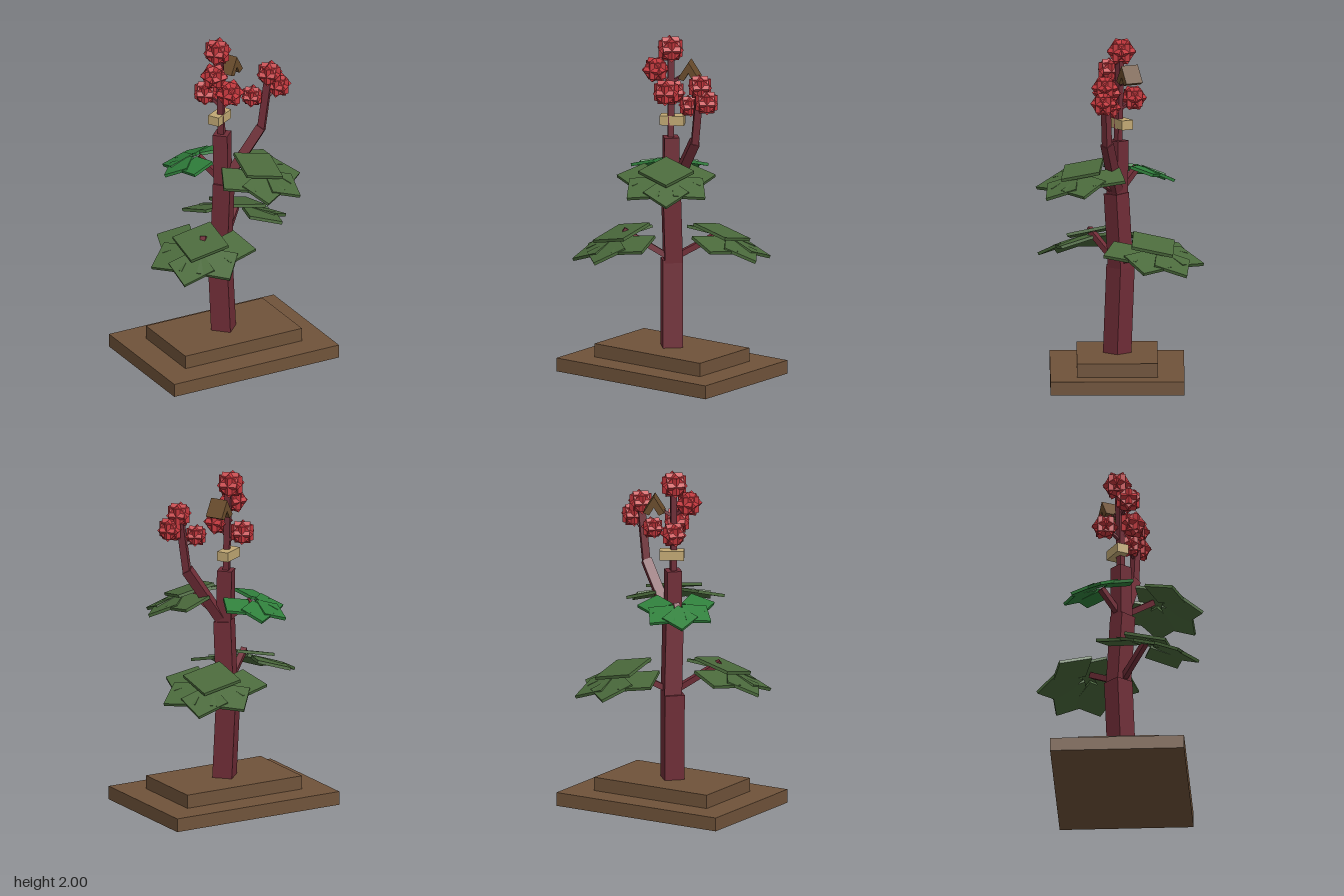
import * as THREE from 'three';

const mat = (name, color) => {
  const m = new THREE.MeshStandardMaterial({ color });
  m.name = name;
  return m;
};
const rad = THREE.MathUtils.degToRad;

export function createModel() {
  const model = new THREE.Group();
  model.name = 'pottedPlant';
  const wood = mat('wood brown', 0x70533a);
  const bark = mat('stem maroon', 0x702d37);
  const leafGreen = mat('leaf green', 0x4b6a3c);
  const youngGreen = mat('young leaf green', 0x30803c);
  const red = mat('blossom red', 0xc2363c);
  const tan = mat('label tan', 0xc2a974);
  const seed = mat('husk brown', 0x6a4c2c);

  const box = (parent, name, material, size, pos = [0, 0, 0], turn = 0) => {
    const m = new THREE.Mesh(new THREE.BoxGeometry(...size), material);
    m.name = name;
    m.position.set(...pos);
    m.rotation.y = rad(turn);
    parent.add(m);
    return m;
  };

  // Square beam between two points, turned corner-on
  const beam = (name, a, b, width) => {
    const p = new THREE.Vector3(...a), q = new THREE.Vector3(...b);
    const d = q.clone().sub(p);
    const g = new THREE.BoxGeometry(width, d.length(), width).rotateY(Math.PI / 4);
    const m = new THREE.Mesh(g, bark);
    m.name = name;
    m.position.copy(p).add(q).multiplyScalar(0.5);
    m.quaternion.setFromUnitVectors(new THREE.Vector3(0, 1, 0), d.normalize());
    model.add(m);
  };

  // Stepped base
  box(model, 'baseLower', wood, [1.095, 0.08, 0.78], [0.008, 0.04, 0.005]);
  box(model, 'baseUpper', wood, [0.775, 0.08, 0.47], [0.008, 0.12, 0.005]);

  // Main stem, thinner towards the top
  beam('stemLower', [0.005, 0.155, 0.005], [-0.01, 0.675, -0.015], 0.117);
  beam('stemMiddle', [0, 0.66, -0.015], [0.004, 1.1, 0.01], 0.104);
  beam('stemUpper', [0, 1.08, 0.005], [-0.003, 1.41, 0], 0.088);
  beam('stemTip', [-0.005, 1.38, 0], [-0.012, 1.92, -0.01], 0.036);

  // Side branch
  beam('branchLower', [0.03, 1.12, 0.01], [0.222, 1.425, 0.065], 0.056);
  beam('branchUpper', [0.222, 1.41, 0.065], [0.265, 1.74, 0.075], 0.042);

  // Compound leaf: diamond plates fanned around a centre, drooping outwards
  const leaf = (name, material, center, dir, scale, withCenter, stalkFrom, stalkTo) => {
    const g = new THREE.Group();
    g.name = name;
    g.position.set(...center);
    g.rotation.set(rad(17), Math.atan2(dir[0], dir[1]), 0, 'YXZ');
    const side = 0.2 * scale;
    [0, 50, -50, 105, -105].forEach((angle, i) => {
      const pivot = new THREE.Group();
      pivot.name = 'leaflet';
      pivot.rotation.set(rad(10), rad(angle), 0, 'YXZ');
      box(pivot, 'leafletPlate', material, [side, 0.018, side], [0, -0.002 * i, 0.18 * scale], 45);
      g.add(pivot);
    });
    if (withCenter) {
      box(g, 'leafCenter', material, [0.245 * scale, 0.018, 0.245 * scale], [0, 0.012, 0], 45);
    }
    model.add(g);
    beam(name + 'Stalk', stalkFrom, stalkTo, 0.034);
  };
  leaf('lowerRightLeaf', leafGreen, [-0.235, 0.82, 0.165], [-0.75, 0.66], 1, true,
    [0, 0.68, 0], [-0.225, 0.85, 0.167]);
  leaf('lowerLeftLeaf', leafGreen, [0.21, 0.82, -0.2], [0.72, -0.69], 1, true,
    [0, 0.68, 0], [0.19, 0.815, -0.18]);
  leaf('upperFrontLeaf', leafGreen, [0.12, 1.245, 0.205], [0.6, 0.78], 0.94, true,
    [0, 1.1, 0], [0.11, 1.235, 0.18]);
  leaf('upperBackLeaf', youngGreen, [-0.105, 1.25, -0.115], [-0.64, -0.77], 0.74, false,
    [0, 1.1, 0], [-0.1, 1.235, -0.11]);

  // Blossoms: three crossed cubes, each turned about its own axis
  const blossom = (x, y, z, side, turn) => {
    const g = new THREE.Group();
    g.name = 'blossom';
    g.position.set(x, y, z);
    g.rotation.y = rad(turn);
    for (const axis of ['x', 'y', 'z']) {
      box(g, 'petalCube', red, [side, side, side]).rotation[axis] = Math.PI / 4;
    }
    model.add(g);
  };
  const blossoms = [
    [-0.022, 1.93, -0.02, 0.1, 45],
    [-0.08, 1.81, 0.045, 0.095, 8],
    [0.012, 1.69, 0.065, 0.1, 30],
    [-0.06, 1.65, -0.09, 0.092, 55],
    [0.27, 1.765, 0.078, 0.092, 45],
    [0.325, 1.68, 0.085, 0.09, 40],
    [0.17, 1.63, 0.05, 0.08, 50],
  ];
  blossoms.forEach((b) => blossom(...b));

  // Short stalks to the outer blossoms
  beam('blossomStalk', [-0.01, 1.74, 0], [-0.08, 1.8, 0.045], 0.018);
  beam('blossomStalk', [-0.01, 1.6, 0], [0.012, 1.68, 0.06], 0.018);
  beam('blossomStalk', [-0.01, 1.58, 0], [-0.06, 1.65, -0.09], 0.018);
  beam('blossomStalk', [0.25, 1.6, 0.07], [0.32, 1.67, 0.08], 0.018);
  beam('blossomStalk', [0.24, 1.57, 0.068], [0.17, 1.62, 0.05], 0.018);

  // Label block around the stem tip
  box(model, 'stemLabel', tan, [0.142, 0.056, 0.072], [-0.007, 1.508, -0.02], 30);

  // Gable-shaped husk beside the top blossom
  const chevron = new THREE.Shape([
    [-0.062, -0.04], [0, 0.058], [0.062, -0.04], [0.028, -0.055], [0, -0.008], [-0.028, -0.055],
  ].map(([x, y]) => new THREE.Vector2(x, y)));
  const huskGeo = new THREE.ExtrudeGeometry(chevron, { depth: 0.108, bevelEnabled: false });
  huskGeo.translate(0, 0, -0.054);
  const husk = new THREE.Mesh(huskGeo, seed);
  husk.name = 'husk';
  husk.position.set(0.083, 1.808, -0.067);
  husk.rotation.y = rad(28);
  model.add(husk);
  beam('huskStalk', [-0.01, 1.73, -0.005], [0.08, 1.8, -0.065], 0.018);

  return model;
}
